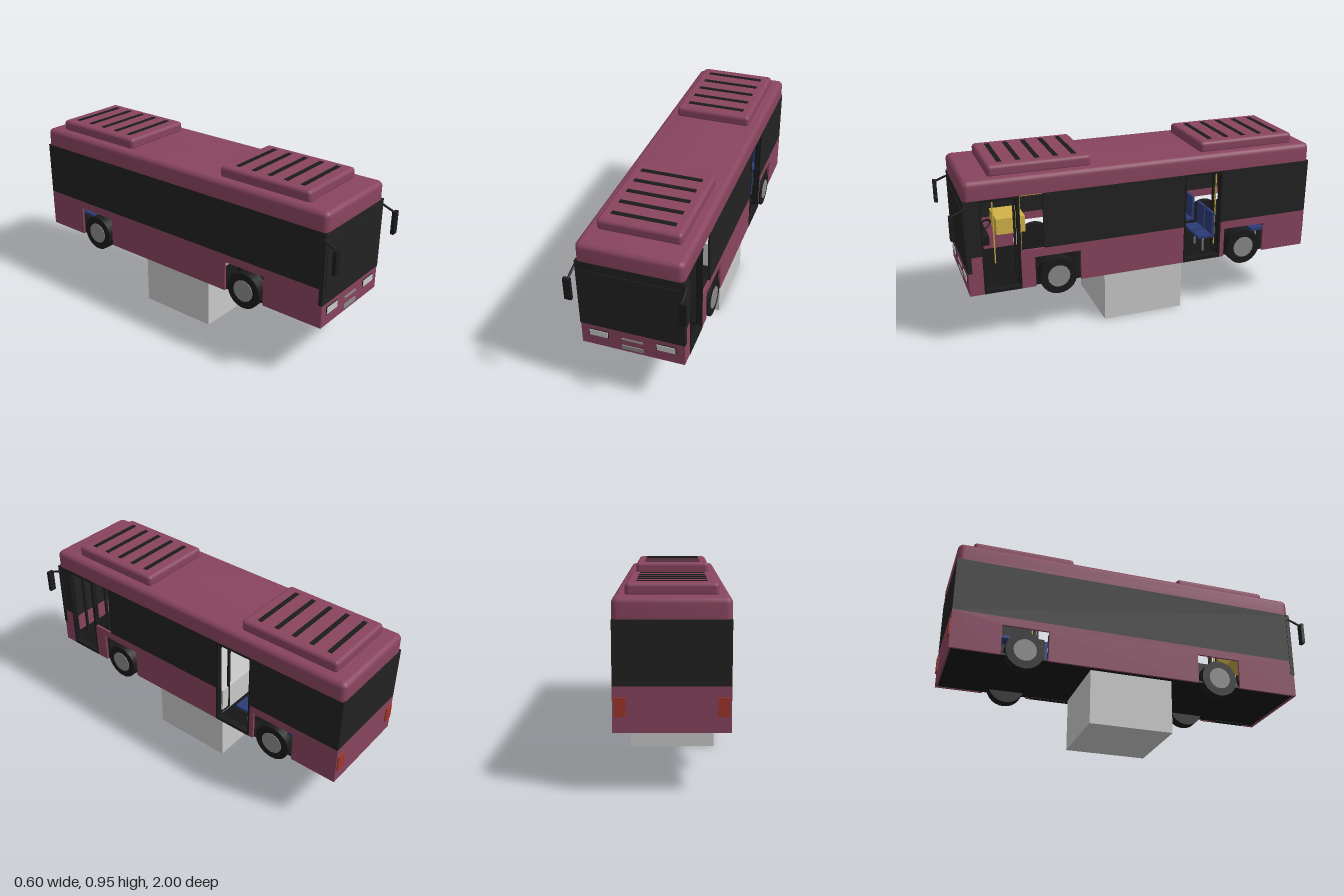
import * as THREE from 'three';
import { toCreasedNormals } from 'three/addons/utils/BufferGeometryUtils.js';
import { RoundedBoxGeometry } from 'three/addons/geometries/RoundedBoxGeometry.js';

const mat = (name, color) => {
  const m = new THREE.MeshStandardMaterial({ color });
  m.name = name;
  return m;
};

// Closed solid from rounded-rectangle rings; profile is a list of [inset, y]
function ringStack(hw, z0, z1, r, profile, n = 5) {
  const pos = [], idx = [], cz = (z0 + z1) / 2, hl = (z1 - z0) / 2;
  const corners = [[1, 1], [-1, 1], [-1, -1], [1, -1]];
  const count = 4 * (n + 1);
  for (const [inset, y] of profile) {
    corners.forEach(([sx, sz], c) => {
      for (let k = 0; k <= n; k++) {
        const a = (c + k / n) * Math.PI / 2, q = r - inset;
        pos.push(sx * (hw - r) + q * Math.cos(a), y, cz + sz * (hl - r) + q * Math.sin(a));
      }
    });
  }
  const last = profile.length - 1, bottom = pos.length / 3, top = bottom + 1;
  pos.push(0, profile[0][1], cz, 0, profile[last][1], cz);
  for (let i = 0; i < count; i++) {
    const j = (i + 1) % count;
    for (let v = 0; v < last; v++) {
      const a = v * count, b = a + count;
      idx.push(a + i, b + i, a + j, b + i, b + j, a + j);
    }
    idx.push(bottom, i, j, top, last * count + j, last * count + i);
  }
  const g = new THREE.BufferGeometry();
  g.setAttribute('position', new THREE.Float32BufferAttribute(pos, 3));
  g.setIndex(idx);
  return toCreasedNormals(g, 0.6);
}

export function createModel() {
  const bus = new THREE.Group();
  bus.name = 'bus';
  const paint = mat('maroon paint', 0x88445e);
  const glass = mat('dark glass', 0x222222);
  const rubber = mat('black trim', 0x1b1b1b);
  const under = mat('floor black', 0x161616);
  const light = mat('light grey', 0xcacaca);
  const metal = mat('mid grey', 0x8a8a8a);
  const blue = mat('seat blue', 0x2d3c78);
  const yellow = mat('rail yellow', 0xd2b348);
  const red = mat('tail red', 0xa0362a);

  const add = (name, geo, m, parent = bus) => {
    const mesh = new THREE.Mesh(geo, m);
    mesh.name = name;
    parent.add(mesh);
    return mesh;
  };
  // Box given by its extents on each axis
  const box = (name, m, x0, x1, y0, y1, z0, z1, parent = bus) => {
    const mesh = add(name, new THREE.BoxGeometry(x1 - x0, y1 - y0, z1 - z0), m, parent);
    mesh.position.set((x0 + x1) / 2, (y0 + y1) / 2, (z0 + z1) / 2);
    return mesh;
  };
  const rod = (name, m, a, b, r) => {
    const p = new THREE.Vector3(...a), d = new THREE.Vector3(...b).sub(p);
    const mesh = add(name, new THREE.CylinderGeometry(r, r, d.length(), 8), m);
    mesh.position.copy(p).addScaledVector(d, 0.5);
    mesh.quaternion.setFromUnitVectors(new THREE.Vector3(0, 1, 0), d.normalize());
  };

  const W = 0.265, T = 0.012, FRONT = 0.925, BACK = -0.99;
  const axles = [0.46, -0.612], archHalf = 0.122;

  // Lower side wall between z0 and z1 with square wheel notches
  const sideWall = (side, z0, z1) => {
    const s = new THREE.Shape();
    s.moveTo(z1, 0.5);
    s.lineTo(z1, 0.29);
    for (const c of axles) {
      if (c > z1 || c < z0) continue;
      s.lineTo(c + archHalf, 0.29);
      s.lineTo(c + archHalf, 0.455);
      s.lineTo(c - archHalf, 0.455);
      s.lineTo(c - archHalf, 0.29);
    }
    s.lineTo(z0, 0.29);
    s.lineTo(z0, 0.5);
    const g = new THREE.ExtrudeGeometry(s, { depth: T, bevelEnabled: false });
    g.rotateY(-Math.PI / 2);
    g.translate(side > 0 ? W : -W + T, 0, 0);
    add('lowerSideWall', g, paint);
  };
  sideWall(-1, BACK, FRONT);
  for (const [z0, z1] of [[0.85, FRONT], [-0.245, 0.655], [BACK, -0.465]]) sideWall(1, z0, z1);

  // Window bands
  box('rightWindowBand', glass, -W, -W + T, 0.5, 0.797, BACK, FRONT);
  for (const [z0, z1] of [[0.85, FRONT], [-0.245, 0.53], [BACK, -0.465]])
    box('leftWindowBand', glass, W - T, W, 0.5, 0.797, z0, z1);
  box('rearWindow', glass, -W, W, 0.5, 0.797, BACK, BACK + T);
  box('rearPanel', paint, -W, W, 0.29, 0.5, BACK, BACK + T);

  // Front
  box('frontPanel', paint, -W, W, 0.29, 0.415, 0.91, FRONT);
  box('windshield', glass, -W - 0.003, W + 0.003, 0.415, 0.797, 0.905, FRONT + 0.002);
  box('windshieldPane', glass, -0.25, 0.25, 0.49, 0.75, FRONT, FRONT + 0.005);
  box('badgeBar', metal, -0.055, 0.055, 0.363, 0.373, FRONT, FRONT + 0.005);
  box('blankPlate', metal, -0.055, 0.055, 0.306, 0.329, FRONT, FRONT + 0.005);

  // Roof with rounded upper edges
  const R = 0.03, roofProfile = [[0, 0.797]];
  for (let k = 0; k <= 5; k++) {
    const a = k / 5 * Math.PI / 2;
    roofProfile.push([0.028 * (1 - Math.cos(a)), 0.895 - 0.028 + 0.028 * Math.sin(a)]);
  }
  add('roof', ringStack(W, BACK, FRONT, R, roofProfile), paint);
  box('ceiling', light, -0.24, 0.24, 0.788, 0.797, BACK + 0.02, 0.88);

  // Roof units with slats
  for (const [z0, z1, first] of [[0.255, 0.79, 0.333], [-0.905, -0.355, -0.83]]) {
    const pod = add('roofUnit', new RoundedBoxGeometry(0.42, 0.065, z1 - z0, 4, 0.02), paint);
    pod.position.set(0, 0.9165, (z0 + z1) / 2);
    for (let i = 0; i < 5; i++) {
      const z = first + i * (first > 0 ? 0.096 : 0.1);
      box('roofSlat', rubber, -0.16, 0.16, 0.945, 0.952, z - 0.012, z + 0.012);
    }
  }

  // Floor and central support block
  box('floor', under, -W + T, W - T, 0.293, 0.306, BACK + T, 0.91);
  box('supportBlock', light, -0.222, 0.222, 0, 0.455, -0.255, 0.195);

  // Parts on both sides
  for (const s of [1, -1]) {
    for (const z of axles) {
      const wheel = new THREE.Group();
      wheel.name = 'wheel';
      wheel.position.set(s * 0.234, 0.33, z);
      wheel.rotation.z = -s * Math.PI / 2;
      bus.add(wheel);
      add('tyre', new THREE.CylinderGeometry(0.1, 0.1, 0.066, 28), rubber, wheel);
      add('hub', new THREE.CylinderGeometry(0.06, 0.06, 0.005, 16), metal, wheel).position.y = 0.034;
      box('archPanel', rubber, s * 0.15 - 0.004, s * 0.15 + 0.004, 0.3, 0.46, z - archHalf, z + archHalf);
    }
    box('headlightFrame', rubber, s * 0.173 - 0.05, s * 0.173 + 0.05, 0.35, 0.39, FRONT, FRONT + 0.003);
    box('headlight', light, s * 0.173 - 0.047, s * 0.173 + 0.047, 0.353, 0.387, FRONT, FRONT + 0.006);
    box('tailLight', red, s * 0.23 - 0.026, s * 0.23 + 0.026, 0.365, 0.45, BACK - 0.007, BACK);
    box('mirror', rubber, s * 0.28 - 0.018, s * 0.28 + 0.018, 0.617, 0.74, 0.982, 1);
    rod('mirrorArm', rubber, [s * 0.272, 0.765, 0.915], [s * 0.275, 0.735, 0.99], 0.006);
    rod('handRail', yellow, [s * 0.12, 0.742, 0.74], [s * 0.12, 0.742, -0.9], 0.004);
  }

  // Door frames with leaves folded inward
  for (const [z0, z1] of [[0.655, 0.85], [-0.465, -0.245]]) {
    box('doorSill', rubber, W - 0.03, W + 0.002, 0.291, 0.308, z0, z1);
    box('doorHeader', rubber, W - 0.02, W + 0.001, 0.785, 0.797, z0, z1);
    for (const z of [z0, z1 - 0.01]) {
      box('doorPost', rubber, W - T, W + 0.002, 0.291, 0.797, z, z + 0.01);
      for (const x of [0.16, 0.235]) box('doorLeafStile', rubber, x, x + 0.015, 0.31, 0.78, z, z + 0.01);
      for (const y of [0.31, 0.765]) box('doorLeafRail', rubber, 0.16, 0.25, y, y + 0.015, z, z + 0.01);
    }
  }
  box('windowPost', rubber, W - T, W, 0.5, 0.797, 0.65, 0.66);

  // Driver area and poles
  box('dashboard', rubber, -0.24, -0.02, 0.43, 0.482, 0.76, 0.84);
  const steering = add('steeringWheel', new THREE.TorusGeometry(0.05, 0.005, 8, 20), rubber);
  steering.position.set(-0.13, 0.5, 0.775);
  steering.rotation.x = Math.PI / 2 + 0.5;
  box('cabinet', yellow, -0.25, -0.07, 0.46, 0.55, 0.55, 0.71);
  for (const [x, z] of [[-0.05, 0.73], [0.12, 0.62], [0.12, -0.5]])
    rod('pole', yellow, [x, 0.3, z], [x, 0.79, z], 0.004);

  // Passenger seats
  for (const z of [-0.4, -0.73])
    for (const x of [-0.185, -0.08, 0.08, 0.185]) {
      box('seatCushion', blue, x - 0.045, x + 0.045, 0.4, 0.416, z - 0.04, z + 0.05);
      box('seatBack', blue, x - 0.045, x + 0.045, 0.4, 0.545, z - 0.045, z - 0.03);
      rod('seatLeg', metal, [x, 0.3, z], [x, 0.4, z], 0.006);
    }
  return bus;
}
